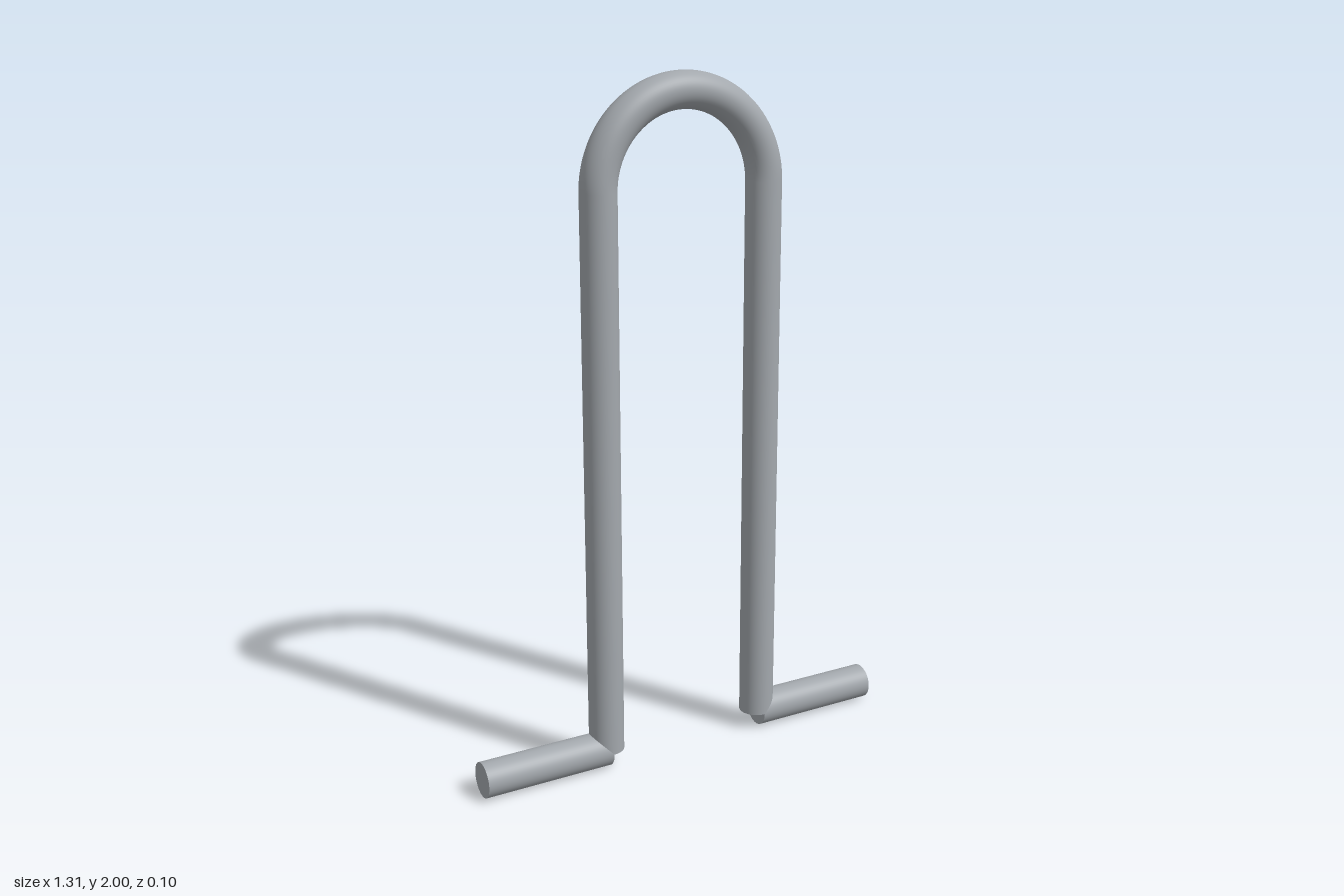
import * as THREE from 'three';

export function createModel() {
  const model = new THREE.Group();
  model.name = 'bentRodHandle';

  const steel = new THREE.MeshStandardMaterial({ color: 0xa3a8ad });
  steel.name = 'steel grey';

  const rod = 0.052;      // rod radius
  const halfSpan = 0.26;  // centre of each leg, and bend radius
  const bendY = 2 - rod - halfSpan;
  const footEnd = 0.655;
  const sides = 48;

  const add = (name, geometry, x, y) => {
    const mesh = new THREE.Mesh(geometry, steel);
    mesh.name = name;
    mesh.position.set(x, y, 0);
    model.add(mesh);
  };

  // Half-ring joining the two legs
  add('topBend', new THREE.TorusGeometry(halfSpan, rod, sides, 64, Math.PI), 0, bendY);

  // Upright leg and outward foot on each side
  const legLength = bendY - rod;
  const footLength = footEnd - halfSpan;
  for (const [side, s] of [['left', 1], ['right', -1]]) {
    add(side + 'Leg', new THREE.CylinderGeometry(rod, rod, legLength, sides),
      s * halfSpan, rod + legLength / 2);
    add(side + 'Foot', new THREE.CylinderGeometry(rod, rod, footLength, sides).rotateZ(-s * Math.PI / 2),
      s * (halfSpan + footLength / 2), rod);
  }
  return model;
}
